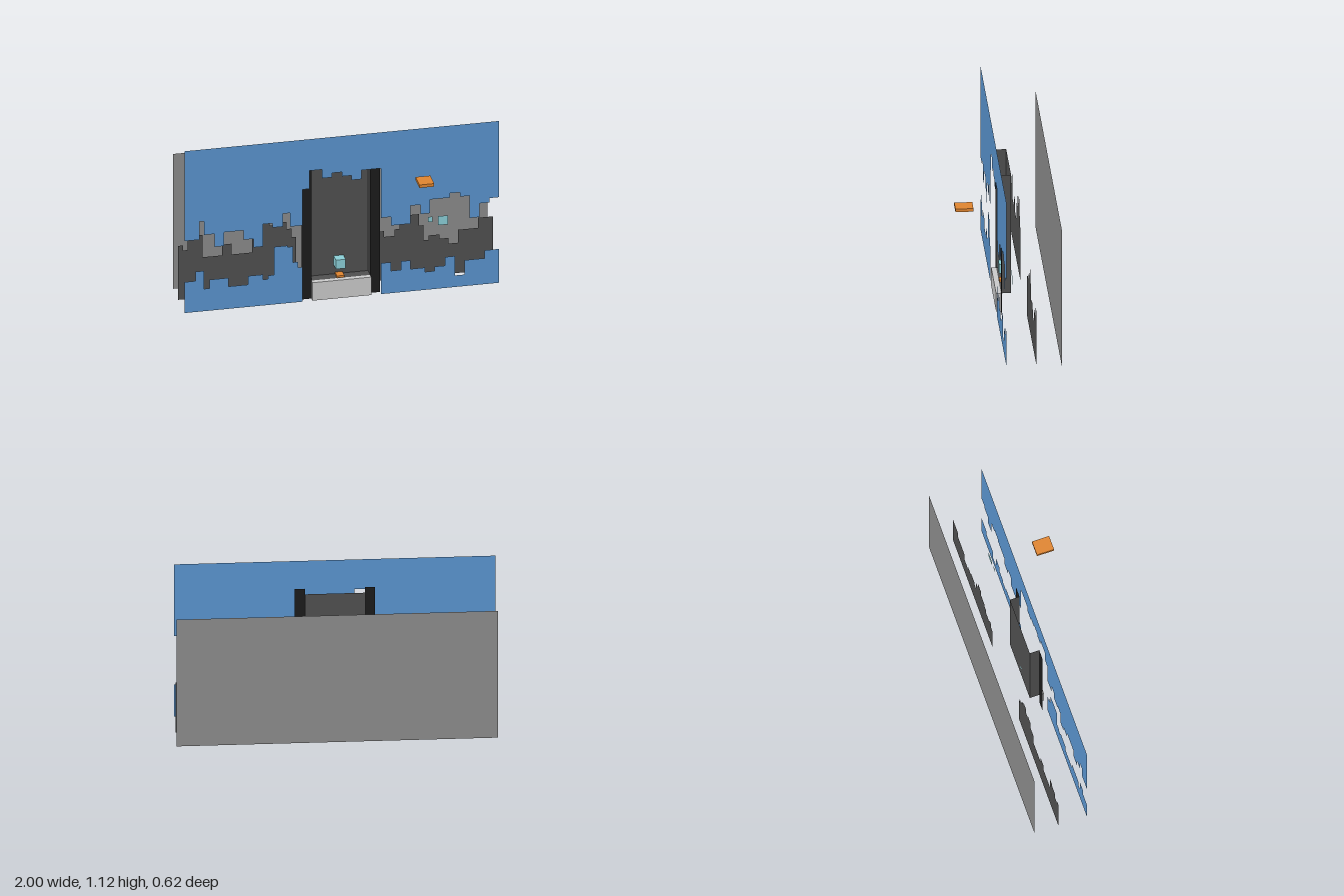
import * as THREE from 'three';

const material = (color) =>
  new THREE.MeshStandardMaterial({ color, side: THREE.DoubleSide });

export function createModel() {
  const model = new THREE.Group();
  const blue = material(0x5a95d0);
  const grey = material(0x8c8c8c);
  const dark = material(0x505050);
  const black = material(0x1c1c1c);
  const pale = material(0xcccccc);
  const cyan = material(0x8cd0d8);
  const orange = material(0xe08530);

  function add(name, geometry, mat, x, y, z) {
    const mesh = new THREE.Mesh(geometry, mat);
    mesh.name = name;
    mesh.position.set(x, y, z);
    model.add(mesh);
    return mesh;
  }
  const sheet = (name, w, h, mat, x, y, z) =>
    add(name, new THREE.PlaneGeometry(w, h), mat, x, y, z);
  const box = (name, w, h, d, mat, x, y, z) =>
    add(name, new THREE.BoxGeometry(w, h, d), mat, x, y, z);

  // Flat sheet between a straight base and a stepped edge of [end x, height] pairs
  function stepped(name, startX, steps, base, mat, z) {
    const shape = new THREE.Shape();
    shape.moveTo(startX, base);
    let x = startX;
    for (const [endX, y] of steps) {
      shape.lineTo(x, y);
      shape.lineTo(endX, y);
      x = endX;
    }
    shape.lineTo(x, base);
    add(name, new THREE.ShapeGeometry(shape), mat, 0, 0, z);
  }

  // Front sheet: upper part with a ragged lower edge, and two lower parts
  const front = 0.031;
  stepped('upperFrontSheet', -1, [
    [-0.906, 0.5], [-0.875, 0.625], [-0.81, 0.53], [-0.75, 0.44], [-0.625, 0.535],
    [-0.56, 0.47], [-0.5, 0.41], [-0.44, 0.565], [-0.375, 0.535], [-0.33, 0.625],
    [-0.25, 0.53], [-0.205, 0.78], [-0.125, 0.906], [-0.0625, 0.845], [0, 0.875],
    [0.0625, 0.845], [0.125, 0.813], [0.25, 0.875], [0.3125, 0.53], [0.4375, 0.47],
    [0.5, 0.595], [0.56, 0.53], [0.6875, 0.625], [0.75, 0.655], [0.8125, 0.625],
    [0.875, 0.47], [0.9375, 0.565], [1, 0.595],
  ], 1.125, blue, front);
  stepped('lowerFrontSheetRight', -1, [
    [-0.93, 0.215], [-0.875, 0.28], [-0.84, 0.155], [-0.72, 0.215], [-0.595, 0.155],
    [-0.5, 0.215], [-0.47, 0.18], [-0.43, 0.205], [-0.345, 0.4], [-0.31, 0.39],
    [-0.28, 0.28], [-0.25, 0.24],
  ], 0, blue, front);
  stepped('lowerFrontSheetLeft', 0.25, [
    [0.3125, 0.215], [0.375, 0.155], [0.4375, 0.215], [0.53, 0.155], [0.59, 0.125],
    [0.655, 0.155], [0.72, 0.215], [0.78, 0.08], [0.906, 0.18], [1, 0.235],
  ], 0, blue, front);

  // Middle sheets, one on each side of the alcove
  const middle = -0.156;
  stepped('middleSheetRight', -1, [
    [-0.97, 0.375], [-0.94, 0.34], [-0.875, 0.405], [-0.845, 0.435], [-0.72, 0.28],
    [-0.66, 0.355], [-0.53, 0.28], [-0.47, 0.4], [-0.42, 0.485], [-0.39, 0.455],
    [-0.335, 0.52], [-0.31, 0.47], [-0.28, 0.42], [-0.25, 0.36],
  ], 0, dark, middle);
  stepped('middleSheetLeft', 0.25, [
    [0.28, 0.28], [0.31, 0.34], [0.375, 0.3], [0.406, 0.345], [0.47, 0.375],
    [0.53, 0.435], [0.56, 0.355], [0.59, 0.25], [0.66, 0.28], [0.72, 0.25],
    [0.78, 0.21], [0.906, 0.3], [1, 0.37],
  ], 0, dark, middle);

  // Plain back sheet
  sheet('backSheet', 2, 0.9375, grey, 0, 0.46875, -0.3125);

  // Alcove: back panel, floor, side walls and front strips, open at the top
  sheet('alcoveBack', 0.375, 0.8125, dark, 0, 0.53125, -0.0625);
  sheet('alcoveFloor', 0.375, 0.0625, dark, 0, 0.125, -0.03125).rotation.x = -Math.PI / 2;
  // Pale step below it, open at the back and bottom
  sheet('stepFront', 0.375, 0.125, pale, 0, 0.0625, front);
  sheet('stepTop', 0.375, front, pale, 0, 0.125, front / 2).rotation.x = -Math.PI / 2;
  for (const side of [-1, 1]) {
    const turn = side * Math.PI / 2;
    sheet('alcoveWall', 0.0625, 0.8125, dark, side * 0.1875, 0.53125, -0.03125).rotation.y = turn;
    sheet('alcoveStrip', 0.0625, 0.9375, black, side * 0.21875, 0.46875, 0);
    sheet('stepSide', front, 0.125, pale, side * 0.1875, 0.0625, front / 2).rotation.y = turn;
  }

  // Cube and tile in the alcove
  box('cube', 0.0625, 0.0625, 0.0625, cyan, 0, 0.219, -0.03125);
  box('smallTile', 0.047, 0.02, 0.056, orange, 0, 0.128, -0.03125);

  // Floating tile and two flat cyan squares
  box('floatingTile', 0.094, 0.021, 0.1125, orange, 0.48, 0.867, 0.256);
  sheet('largeSquare', 0.0625, 0.0625, cyan, 0.656, 0.44, -0.031);
  sheet('smallSquare', 0.031, 0.036, cyan, 0.576, 0.455, -0.031);

  return model;
}
